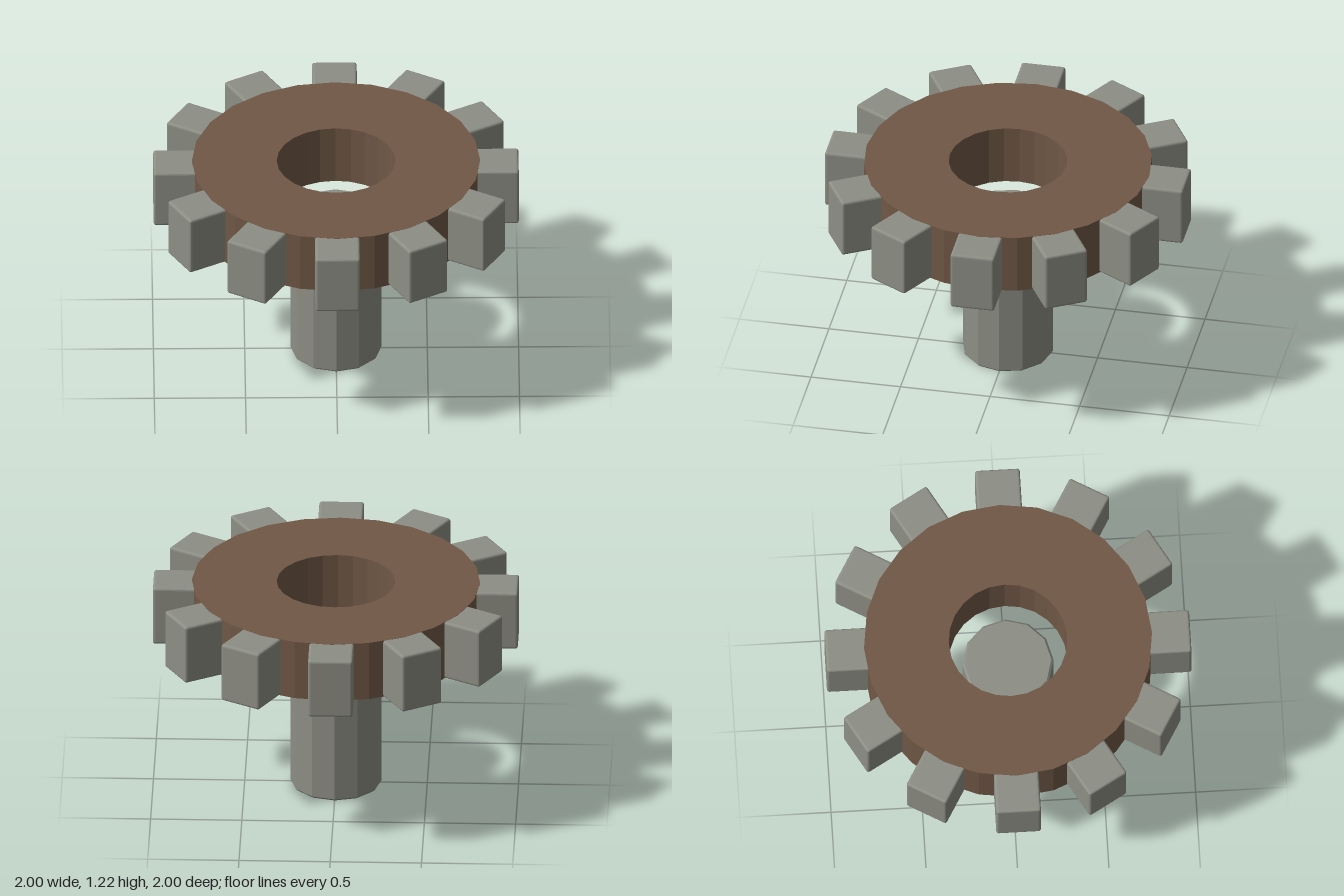
import * as THREE from 'three';
import { RoundedBoxGeometry } from 'three/addons/geometries/RoundedBoxGeometry.js';

const stone = new THREE.MeshStandardMaterial({ color: 0x8d8e84, flatShading: true });
const wood = new THREE.MeshStandardMaterial({ color: 0x705846, flatShading: true });

// Faceted solid of revolution from [radius, height] pairs
function turned(name, profile, sides, material) {
  const points = profile.map(([r, y]) => new THREE.Vector2(r, y));
  const mesh = new THREE.Mesh(new THREE.LatheGeometry(points, sides), material);
  mesh.name = name;
  return mesh;
}

export function createModel() {
  const model = new THREE.Group();
  model.name = 'gearOnShaft';
  const bottom = 0.88, top = 1.22;

  // Twelve-sided shaft with softened rims, ending at the underside of the wheel
  const r = 0.25, bevel = 0.012;
  model.add(turned('shaft', [
    [0, 0], [r - bevel, 0], [r, bevel], [r, bottom - bevel], [r - bevel, bottom], [0, bottom],
  ], 12, stone));

  // Wheel ring with an open bore
  const inner = 0.325, outer = 0.79, lift = 0.001;
  model.add(turned('wheelRing', [
    [inner, bottom - lift], [outer, bottom - lift], [outer, top + lift],
    [inner, top + lift], [inner, bottom - lift],
  ], 24, wood));

  // Twelve teeth sunk into the rim
  const teeth = new THREE.Group();
  teeth.name = 'teeth';
  const start = 0.68, end = 1;
  const toothGeometry = new RoundedBoxGeometry(0.245, top - bottom, end - start, 2, 0.014);
  toothGeometry.translate(0, (top + bottom) / 2, (start + end) / 2);
  for (let i = 0; i < 12; i++) {
    const tooth = new THREE.Mesh(toothGeometry, stone);
    tooth.name = `tooth${i + 1}`;
    tooth.rotation.y = (i * Math.PI) / 6;
    teeth.add(tooth);
  }
  model.add(teeth);
  return model;
}
